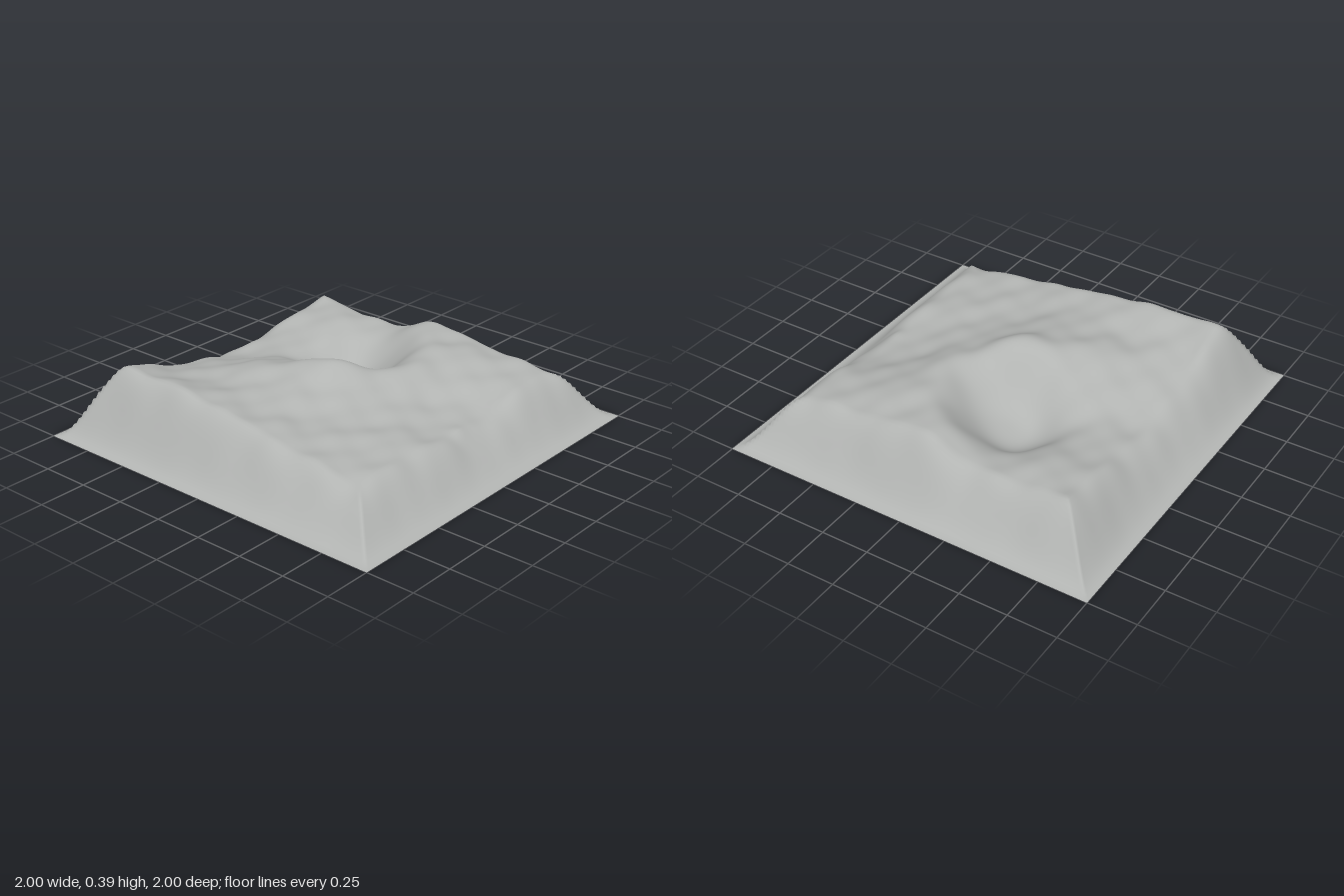
import * as THREE from 'three';

// Broad plateau heights: rows run back to front, columns from -x to +x
const STEP = 0.25, EDGE = 0.75;
const plateau = [
  [0.37, 0.29, 0.23, 0.19, 0.21, 0.25, 0.29],
  [0.36, 0.30, 0.29, 0.23, 0.22, 0.26, 0.26],
  [0.35, 0.31, 0.34, 0.32, 0.28, 0.27, 0.25],
  [0.31, 0.30, 0.33, 0.37, 0.35, 0.35, 0.33],
  [0.28, 0.26, 0.27, 0.31, 0.34, 0.335, 0.31],
  [0.24, 0.24, 0.24, 0.23, 0.25, 0.29, 0.28],
  [0.21, 0.22, 0.22, 0.19, 0.20, 0.25, 0.26],
];

// Smooth curve through evenly spaced values
function spline(values, t) {
  const last = values.length - 1;
  const i = Math.min(Math.floor(t), last - 1);
  const f = t - i;
  const at = (k) => values[THREE.MathUtils.clamp(k, 0, last)];
  const [a, b, c, d] = [at(i - 1), at(i), at(i + 1), at(i + 2)];
  return b + 0.5 * f * (c - a + f * (2 * a - 5 * b + 4 * c - d + f * (3 * (b - c) + d - a)));
}

const gridCoord = (v) => (THREE.MathUtils.clamp(v, -EDGE, EDGE) + EDGE) / STEP;

// Round rise of a given height and radius
const mound = (x, z, cx, cz, height, radius) =>
  height * Math.exp(-((x - cx) ** 2 + (z - cz) ** 2) / radius ** 2);

// Small rolling bumps
function bumps(x, z) {
  return 0.008 * Math.sin(15 * x + 4 * z + 1) * Math.sin(17 * z - 3 * x)
    + 0.004 * Math.sin(27 * x - 9 * z) * Math.sin(24 * z + 7 * x + 2);
}

function heightAt(x, z) {
  let y = spline(plateau.map((row) => spline(row, gridCoord(x))), gridCoord(z));
  y += mound(x, z, -0.08, 0.02, 0.045, 0.12); // summit beside the crater
  y += mound(x, z, 0, 0.73, 0.015, 0.05); // knob on the front brow
  // round crater bowl
  const bowl = Math.exp(-((Math.hypot(x - 0.28, z + 0.13) / 0.27) ** 3));
  y += -0.2 * bowl + bumps(x, z) * (1 - bowl);
  // slopes down to the square rim, meeting in sharp corner ridges
  const inset = 1 - Math.max(Math.abs(x), Math.abs(z));
  return y * THREE.MathUtils.smoothstep(inset, 0, 0.28);
}

export function createModel() {
  const model = new THREE.Group();
  model.name = 'terrain';

  const rock = new THREE.MeshStandardMaterial({ color: 0xb2b4b2, side: THREE.DoubleSide });
  rock.name = 'grey rock';

  const geometry = new THREE.PlaneGeometry(2, 2, 110, 110);
  geometry.rotateX(-Math.PI / 2);
  const p = geometry.attributes.position;
  for (let i = 0; i < p.count; i++) p.setY(i, heightAt(p.getX(i), p.getZ(i)));
  geometry.computeVertexNormals();

  const land = new THREE.Mesh(geometry, rock);
  land.name = 'crateredHill';
  model.add(land);
  return model;
}
